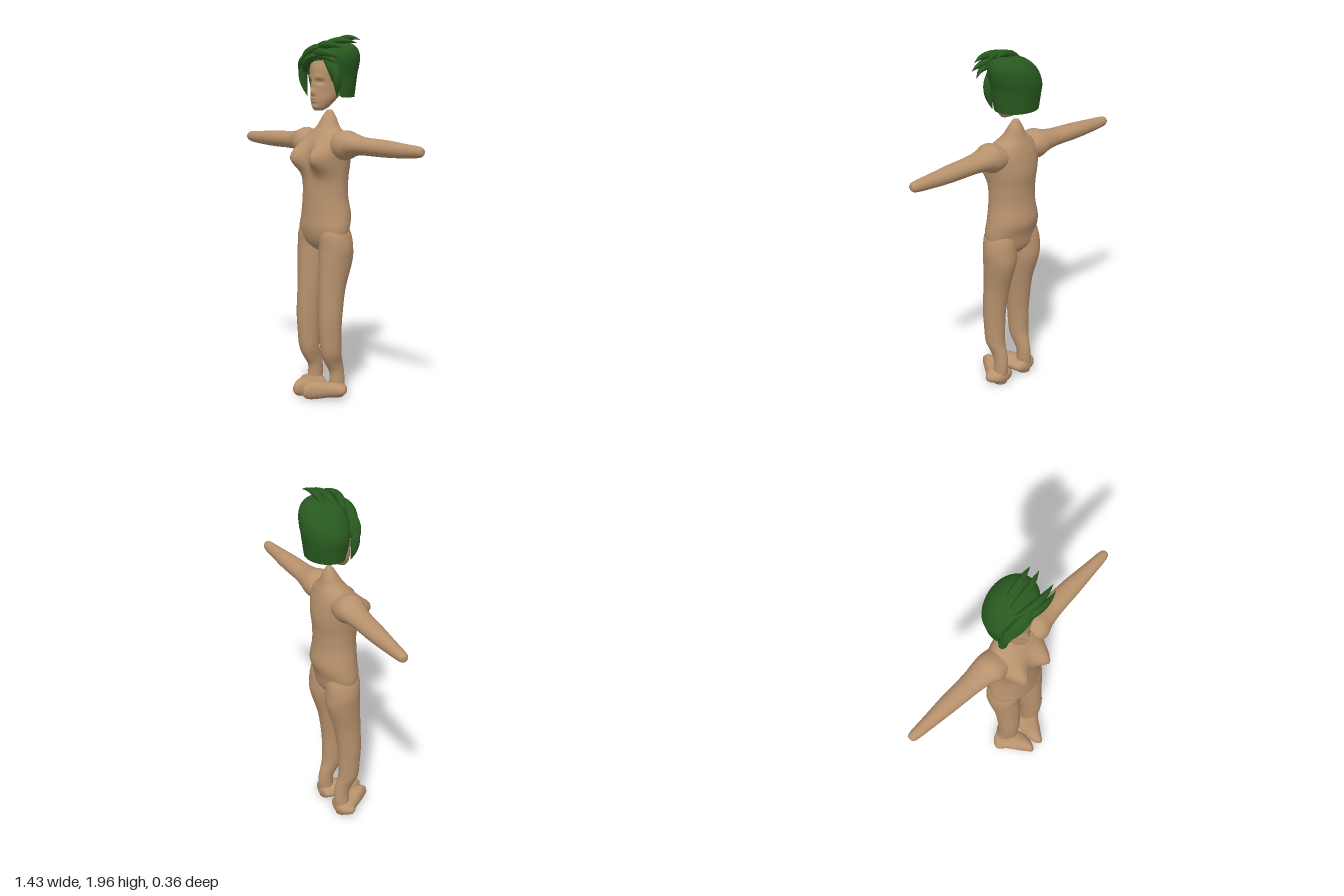
import * as THREE from 'three';

const skin = new THREE.MeshStandardMaterial({ color: 0xb8926d });
skin.name = 'skin';
const green = new THREE.MeshStandardMaterial({ color: 0x28591f, side: THREE.DoubleSide });
green.name = 'hairGreen';

const bell = (d, w) => Math.exp(-(d * d) / (w * w));

// For each loft axis, place a point from (position along axis, u, v)
const PLACE = {
  x: (t, u, v) => new THREE.Vector3(t, u, v),
  y: (t, u, v) => new THREE.Vector3(v, t, u),
  z: (t, u, v) => new THREE.Vector3(u, v, t),
};

// Smooth closed loft through rows of [t, uMin, uMax, vMin, vMax]
function loft(axis, rows, { segs = 28, steps = 4, sculpt } = {}) {
  const columns = [1, 2, 3, 4].map(
    (k) => new THREE.SplineCurve(rows.map((r) => new THREE.Vector2(r[0], r[k]))));
  const rings = (rows.length - 1) * steps;
  const pos = [], index = [];
  const push = (p) => { if (sculpt) sculpt(p); pos.push(p.x, p.y, p.z); };
  for (let i = 0; i <= rings; i++) {
    const pts = columns.map((c) => c.getPoint(i / rings));
    const [u0, u1, v0, v1] = pts.map((p) => p.y);
    for (let j = 0; j < segs; j++) {
      const a = (j / segs) * Math.PI * 2;
      push(PLACE[axis](pts[0].x,
        (u0 + u1) / 2 + ((u1 - u0) / 2) * Math.cos(a),
        (v0 + v1) / 2 + ((v1 - v0) / 2) * Math.sin(a)));
    }
  }
  for (let i = 0; i < rings; i++) {
    for (let j = 0; j < segs; j++) {
      const k = (j + 1) % segs;
      const a = i * segs + j, b = i * segs + k, c = a + segs, d = b + segs;
      index.push(a, b, c, b, d, c);
    }
  }
  // End caps
  [rows[0], rows[rows.length - 1]].forEach((r, end) => {
    push(PLACE[axis](r[0], (r[1] + r[2]) / 2, (r[3] + r[4]) / 2));
    const centre = pos.length / 3 - 1, base = end ? rings * segs : 0;
    for (let j = 0; j < segs; j++) {
      const a = base + j, b = base + ((j + 1) % segs);
      if (end) index.push(centre, a, b); else index.push(centre, b, a);
    }
  });
  return finish(pos, index);
}

function finish(pos, index) {
  const g = new THREE.BufferGeometry();
  g.setAttribute('position', new THREE.Float32BufferAttribute(pos, 3));
  g.setIndex(index);
  g.computeVertexNormals();
  return g;
}

// Mirror across x, keeping faces outward
function mirrored(geo) {
  const pos = Array.from(geo.attributes.position.array, (n, i) => (i % 3 === 0 ? -n : n));
  return finish(pos, Array.from(geo.index.array).reverse());
}

// Hair shell: high hairline in front, long at sides and back, leaning to +x
function hairCap() {
  const segs = 48, rows = 20, pos = [], index = [];
  for (let i = 0; i <= rows; i++) {
    const t = 1 - (1 - i / rows) ** 2;
    for (let j = 0; j < segs; j++) {
      const a = (j / segs) * Math.PI * 2;
      const bottom = 1.68 + 0.19 * THREE.MathUtils.smoothstep(Math.sin(a), 0.35, 0.75);
      const y = bottom + t * (1.965 - bottom);
      const h = (y - 1.68) / 0.285;
      const k = Math.max(0, (h - 0.5) / 0.5);
      const s = h < 0.5 ? 0.86 + 0.28 * h : Math.sqrt(Math.max(0, 1 - k ** 3));
      const x = 0.01 + 0.145 * s * Math.cos(a) + 0.09 * Math.max(0, h - 0.45);
      const z = -0.052 + 0.13 * s * Math.sin(a);
      pos.push(x, y + 0.12 * x * Math.max(0, h), z);
    }
  }
  for (let i = 0; i < rows; i++) {
    for (let j = 0; j < segs; j++) {
      const k = (j + 1) % segs;
      const a = i * segs + j, b = i * segs + k, c = a + segs, d = b + segs;
      index.push(a, c, b, b, c, d);
    }
  }
  return finish(pos, index);
}

// Curved lock of hair narrowing to a point
function strand([from, via, to, radius]) {
  const curve = new THREE.QuadraticBezierCurve3(
    ...[from, via, to].map((p) => new THREE.Vector3(...p)));
  const n = 12, sides = 7;
  const geo = new THREE.TubeGeometry(curve, n, radius, sides);
  const p = geo.attributes.position, v = new THREE.Vector3();
  for (let i = 0; i < p.count; i++) {
    const u = Math.floor(i / (sides + 1)) / n;
    const centre = curve.getPointAt(u);
    v.fromBufferAttribute(p, i).sub(centre)
      .multiplyScalar(Math.sin(Math.PI * (0.2 + 0.8 * u))).add(centre);
    p.setXYZ(i, v.x, v.y, v.z);
  }
  geo.computeVertexNormals();
  return geo;
}

export function createModel() {
  const model = new THREE.Group();
  model.name = 'figure';
  const add = (name, geo, mat = skin, parent = model) => {
    const mesh = new THREE.Mesh(geo, mat);
    mesh.name = name;
    parent.add(mesh);
  };

  // Torso and neck, with a full chest
  add('torso', loft('y', [
    [0.86, -0.07, 0.05, -0.05, 0.05], [0.9, -0.1, 0.085, -0.14, 0.14],
    [0.97, -0.112, 0.105, -0.165, 0.165], [1.05, -0.135, 0.102, -0.155, 0.155],
    [1.15, -0.122, 0.1, -0.138, 0.138], [1.25, -0.122, 0.098, -0.14, 0.14],
    [1.33, -0.13, 0.1, -0.15, 0.15], [1.42, -0.12, 0.09, -0.16, 0.16],
    [1.48, -0.105, 0.06, -0.125, 0.125], [1.52, -0.09, 0.03, -0.07, 0.07],
    [1.57, -0.075, 0.0, -0.042, 0.042], [1.61, -0.055, -0.025, -0.016, 0.016],
  ], {
    segs: 48,
    sculpt: (p) => {
      if (p.z > 0) p.z += 0.085 * bell(Math.abs(p.x) - 0.088, 0.055) * bell(p.y - 1.36, 0.07)
        * Math.min(1, p.z / 0.04);
    },
  }));

  // Limbs, built for the left and mirrored
  const limbs = {
    Arm: loft('x', [
      [0.08, 1.37, 1.48, -0.09, 0.05], [0.16, 1.35, 1.51, -0.1, 0.07],
      [0.22, 1.375, 1.495, -0.095, 0.05], [0.3, 1.385, 1.48, -0.085, 0.035],
      [0.45, 1.385, 1.475, -0.08, 0.02], [0.58, 1.39, 1.465, -0.07, 0.005],
      [0.69, 1.4, 1.457, -0.062, -0.008], [0.715, 1.415, 1.445, -0.05, -0.02],
    ]),
    Leg: loft('y', [
      [0.05, -0.05, 0.03, 0.055, 0.13], [0.12, -0.06, 0.03, 0.055, 0.13],
      [0.19, -0.06, 0.03, 0.055, 0.124], [0.24, -0.05, 0.06, 0.05, 0.128],
      [0.3, -0.032, 0.085, 0.04, 0.145], [0.4, -0.03, 0.095, 0.035, 0.15],
      [0.5, -0.035, 0.1, 0.03, 0.155], [0.65, -0.06, 0.096, 0.018, 0.157],
      [0.8, -0.105, 0.09, 0.006, 0.172], [0.88, -0.106, 0.086, 0.0, 0.178],
      [0.95, -0.1, 0.088, 0.005, 0.165], [1.0, -0.08, 0.07, 0.03, 0.14],
    ]),
    Foot: loft('z', [
      [-0.058, 0.07, 0.11, 0.075, 0.11], [-0.04, 0.025, 0.15, 0.057, 0.128],
      [0.01, 0.012, 0.18, 0.052, 0.132], [0.06, 0.002, 0.135, 0.048, 0.137],
      [0.11, 0.0, 0.1, 0.045, 0.142], [0.15, 0.01, 0.07, 0.05, 0.137],
      [0.178, 0.025, 0.05, 0.07, 0.115],
    ]),
  };
  for (const [part, geo] of Object.entries(limbs)) {
    add('left' + part, geo);
    add('right' + part, mirrored(geo));
  }

  // Head, with nose, eye sockets, lips and chin shaped into the front
  add('head', loft('y', [
    [1.61, 0.015, 0.055, -0.025, 0.025], [1.63, -0.025, 0.068, -0.046, 0.046],
    [1.67, -0.07, 0.072, -0.068, 0.068], [1.72, -0.13, 0.072, -0.08, 0.08],
    [1.78, -0.15, 0.076, -0.086, 0.086], [1.84, -0.15, 0.075, -0.086, 0.086],
    [1.9, -0.13, 0.05, -0.07, 0.07], [1.93, -0.08, 0.0, -0.03, 0.03],
  ], {
    segs: 72, steps: 10,
    sculpt: (p) => {
      if (p.z < 0.01) return;
      const { x, y } = p;
      const nose = 0.02 * bell(x, 0.014) * bell(y - 1.708, 0.018)
        + 0.01 * bell(x, 0.011) * bell(y - 1.745, 0.03);
      const eyes = -0.014 * bell(Math.abs(x) - 0.036, 0.022) * bell(y - 1.762, 0.013);
      const brow = 0.005 * bell(Math.abs(x) - 0.035, 0.03) * bell(y - 1.788, 0.012);
      const lips = 0.007 * bell(x, 0.026) * (bell(y - 1.674, 0.006) + bell(y - 1.659, 0.006));
      const chin = 0.006 * bell(x, 0.022) * bell(y - 1.628, 0.012);
      p.z += nose + eyes + brow + lips + chin;
    },
  }));

  // Hair shell with locks beside the face and a fringe swept to the left
  const hair = new THREE.Group();
  hair.name = 'hair';
  model.add(hair);
  add('hairCap', hairCap(), green, hair);
  [
    [[-0.07, 1.88, 0.04], [-0.16, 1.82, 0.05], [-0.11, 1.68, 0.02], 0.026],
    [[-0.04, 1.9, 0.05], [-0.13, 1.88, 0.06], [-0.142, 1.79, 0.045], 0.026],
    [[0.1, 1.88, 0.03], [0.16, 1.8, 0.03], [0.118, 1.68, 0.01], 0.026],
    [[0.07, 1.88, 0.05], [0.13, 1.85, 0.05], [0.105, 1.76, 0.03], 0.02],
    [[-0.1, 1.82, 0.045], [-0.04, 1.92, 0.09], [0.12, 1.9, 0.05], 0.026],
    [[-0.12, 1.83, 0.03], [-0.06, 1.95, 0.08], [0.1, 1.95, 0.05], 0.03],
    [[-0.03, 1.91, 0.05], [0.1, 1.93, 0.1], [0.215, 1.89, 0.06], 0.022],
    [[-0.03, 1.93, 0.03], [0.1, 1.98, 0.08], [0.215, 1.94, 0.04], 0.022],
    [[0.03, 1.89, 0.06], [0.13, 1.91, 0.09], [0.19, 1.85, 0.05], 0.018],
    [[-0.02, 1.94, -0.01], [0.1, 2.0, 0.0], [0.21, 1.965, -0.05], 0.022],
    [[0.0, 1.94, -0.06], [0.1, 2.02, -0.06], [0.19, 1.98, -0.09], 0.02],
  ].forEach((s) => add('hairLock', strand(s), green, hair));

  return model;
}
